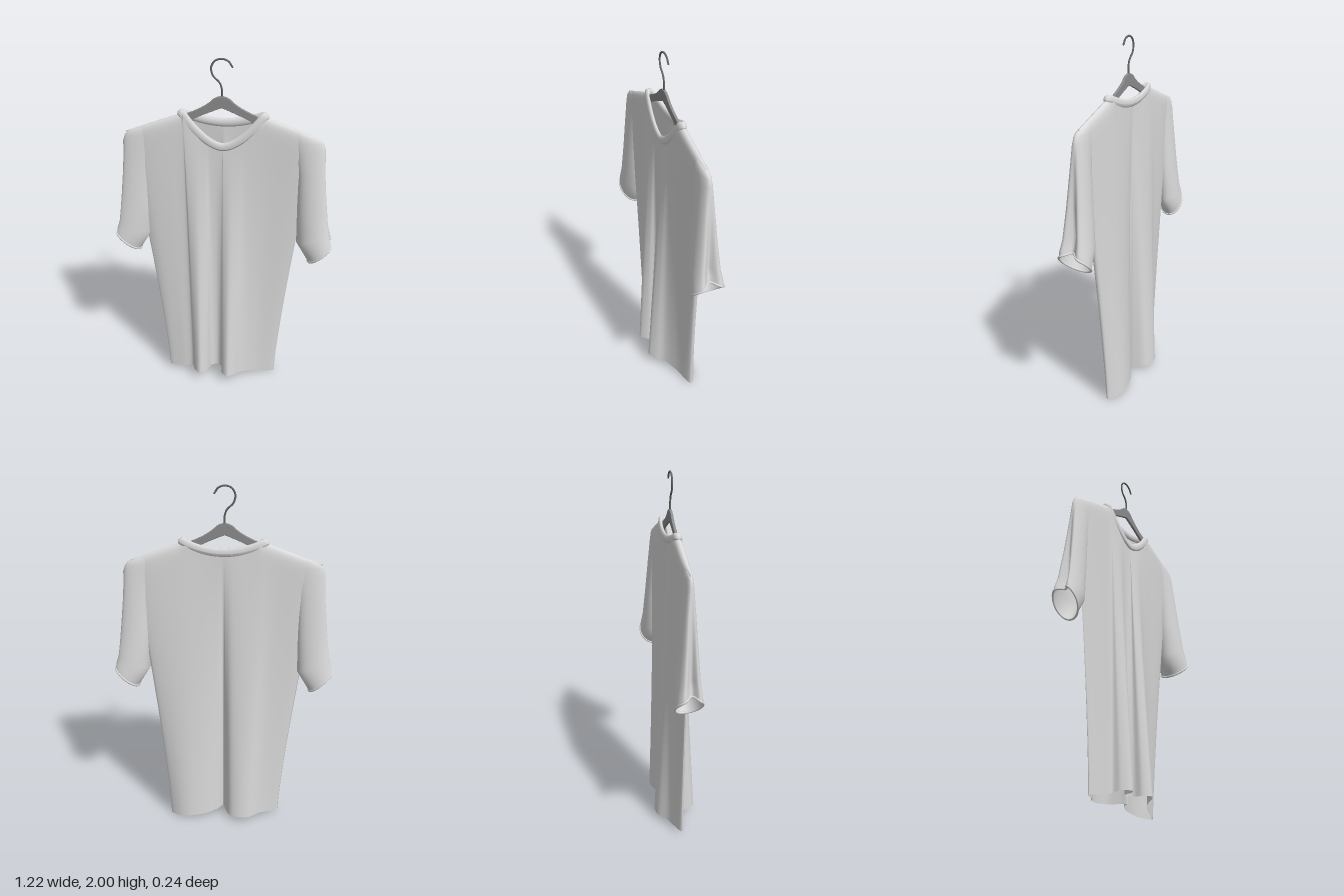
import * as THREE from 'three';

const mat = (name, color, side = THREE.FrontSide) => {
  const m = new THREE.MeshStandardMaterial({ color, side });
  m.name = name;
  return m;
};

// Closed cross-sections joined from bottom to top with smooth normals
function loft(rings) {
  const n = rings[0].length, pos = [], idx = [];
  rings.forEach(r => r.forEach(p => pos.push(p.x, p.y, p.z)));
  for (let j = 0; j < rings.length - 1; j++) {
    for (let i = 0; i < n; i++) {
      const a = j * n + i, b = j * n + (i + 1) % n;
      idx.push(a, b, b + n, a, b + n, a + n);
    }
  }
  const g = new THREE.BufferGeometry();
  g.setAttribute('position', new THREE.Float32BufferAttribute(pos, 3));
  g.setIndex(idx);
  g.computeVertexNormals();
  return g;
}

// Height of the shoulder line and neckline at x
function topY(x, front) {
  const a = Math.abs(x), k = a / 0.21;
  if (a > 0.21) return 1.71 - (a - 0.21) * 0.37;
  return front ? 1.543 + 0.167 * Math.pow(k, 1.7) : 1.662 + 0.048 * k * k;
}

// Draped body: the folded hem outline fades into a thin rounded shoulder line
function bodyGeometry() {
  const front = [[-0.335, 0.02, 0], [-0.25, 0.03, 0.02], [-0.185, 0.05, 0.03], [-0.172, 0.06, 0.075],
    [-0.13, 0.06, 0.112], [-0.09, 0.06, 0.08], [-0.065, 0.06, 0.025], [-0.03, 0.06, 0.015],
    [-0.003, 0.06, 0.04], [0.003, 0.06, 0.09], [0.04, 0.06, 0.12], [0.08, 0.055, 0.095],
    [0.12, 0.04, 0.045], [0.2, 0.02, 0], [0.32, 0, -0.045]];
  const back = [[0.27, 0.005, -0.085], [0.2, 0.015, -0.1], [0.1, 0.025, -0.08], [0.03, 0.03, -0.035],
    [0.003, 0.03, -0.002], [-0.012, 0.03, -0.04], [-0.045, 0.03, -0.1], [-0.1, 0.03, -0.12],
    [-0.16, 0.03, -0.11], [-0.22, 0.025, -0.06], [-0.27, 0.02, -0.035]];
  const pts = [...front, ...back].map(p => new THREE.Vector3(...p));
  const curve = new THREE.CatmullRomCurve3(pts, true);
  const n = pts.length * 6, rows = 36, rings = [];
  for (let j = 0; j <= rows; j++) {
    const t = 1 - Math.pow(1 - j / rows, 2), ring = [];
    for (let i = 0; i < n; i++) {
      const p = curve.getPoint(i / n);
      const isFront = i <= (front.length - 1) * 6;
      const u = Math.min(1, Math.abs(p.x) / 0.325);
      const xt = p.x * (1 + 0.54 * u * u);
      let zt = (isFront ? 0.026 : -0.026) * Math.sqrt(1 - Math.pow(u, 14));
      if (Math.abs(xt) > 0.21) zt *= Math.sqrt(Math.max(0, 1 - Math.pow(t, 70)));
      ring.push(new THREE.Vector3(
        p.x + (xt - p.x) * Math.pow(t, 1.3),
        p.y + (topY(xt, isFront) - p.y) * t,
        p.z + (zt - 0.007 - p.z) * t));
    }
    rings.push(ring);
  }
  return loft(rings);
}

// Sleeve rings: inner x, inner y, outer x, outer y, half depth, outer crease
const sleeveRows = [
  [0.482, 0.87, 0.62, 1.0, 0.085, 0.4],
  [0.464, 0.9, 0.619, 1.03, 0.084, 0.4],
  [0.412, 0.985, 0.607, 1.08, 0.075, 0.34],
  [0.405, 1.2, 0.58, 1.23, 0.058, 0.2],
  [0.4, 1.4, 0.552, 1.42, 0.041, 0.08],
  [0.38, 1.52, 0.536, 1.54, 0.03, 0],
  [0.36, 1.58, 0.524, 1.576, 0.026, 0],
  [0.35, 1.622, 0.508, 1.593, 0.021, 0],
  [0.35, 1.646, 0.49, 1.603, 0.012, 0],
  [0.35, 1.655, 0.475, 1.609, 0.001, 0]];

// The lean pushes the inner side of the lower sleeve forward or back
function sleeveRing([xi, yi, xo, yo, rz, crease], lean) {
  const ring = [];
  for (let i = 0; i < 48; i++) {
    const a = i / 48 * Math.PI * 2, c = Math.cos(a);
    const d = Math.atan2(Math.sin(a), c) / 0.4;
    const k = (1 + c) / 2 - crease * Math.exp(-d * d);
    ring.push(new THREE.Vector3(xi + (xo - xi) * k, yi + (yo - yi) * (1 + c) / 2,
      -rz * Math.sin(a) + lean * crease * (1 - c) / 2));
  }
  return ring;
}

export function createModel() {
  const model = new THREE.Group();
  model.name = 'shirtOnHanger';
  const cloth = mat('light grey cloth', 0xdadada, THREE.DoubleSide);
  const plastic = mat('grey hanger', 0x8c8c8c);
  const metal = mat('dark metal', 0x666666);
  const add = (parent, name, geometry, material) => {
    const m = new THREE.Mesh(geometry, material);
    m.name = name;
    parent.add(m);
    return m;
  };

  add(model, 'shirtBody', bodyGeometry(), cloth);

  // Sleeves with soft hems, the right one turned about and narrower
  for (const side of ['left', 'right']) {
    const sleeve = new THREE.Group();
    sleeve.name = side + 'Sleeve';
    const rings = sleeveRows.map(row => sleeveRing(row, side === 'right' ? 0.06 : 0));
    add(sleeve, side + 'SleeveCloth', loft(rings), cloth);
    const hem = new THREE.CatmullRomCurve3(rings[0], true);
    add(sleeve, side + 'SleeveHem', new THREE.TubeGeometry(hem, 72, 0.006, 8, true), cloth);
    sleeve.position.z = -0.006;
    if (side === 'right') {
      sleeve.rotation.y = Math.PI;
      sleeve.scale.z = 0.8;
    }
    model.add(sleeve);
  }

  // Flat collar band following the neckline, blunt at the shoulders
  const neck = [];
  for (let i = 0; i < 40; i++) {
    const a = i / 40 * Math.PI * 2, x = 0.215 * Math.cos(a), s = Math.sin(a);
    neck.push(new THREE.Vector3(x, topY(x, s > 0) - 0.004, 0.048 * Math.sign(s) * Math.pow(Math.abs(s), 0.6)));
  }
  const collar = new THREE.TubeGeometry(new THREE.CatmullRomCurve3(neck, true), 160, 0.023, 12, true);
  collar.scale(1, 1, 0.5).translate(0, 0, -0.007).computeVertexNormals();
  add(model, 'collar', collar, cloth);

  // Hanger arms
  const s = new THREE.Shape();
  s.moveTo(-0.36, 1.6);
  s.lineTo(-0.18, 1.705);
  s.quadraticCurveTo(-0.08, 1.745, -0.045, 1.785);
  s.quadraticCurveTo(0, 1.82, 0.045, 1.785);
  s.quadraticCurveTo(0.08, 1.745, 0.18, 1.705);
  s.lineTo(0.36, 1.6);
  s.lineTo(0.33, 1.585);
  s.quadraticCurveTo(0.14, 1.695, 0, 1.747);
  s.quadraticCurveTo(-0.14, 1.695, -0.33, 1.585);
  s.closePath();
  const arms = new THREE.ExtrudeGeometry(s, {
    depth: 0.008, bevelEnabled: true, bevelSize: 0.003, bevelThickness: 0.003, bevelSegments: 2, curveSegments: 10 });
  add(model, 'hangerArms', arms.translate(-0.006, 0, -0.009), plastic);

  // Wire hook
  const hook = new THREE.CatmullRomCurve3([[0, 1.78], [0, 1.84], [-0.012, 1.875], [-0.045, 1.91], [-0.054, 1.95],
    [-0.036, 1.984], [0, 1.995], [0.032, 1.984], [0.052, 1.957]].map(([x, y]) => new THREE.Vector3(x - 0.005, y, -0.005)));
  add(model, 'hook', new THREE.TubeGeometry(hook, 60, 0.005, 8), metal);
  const tip = add(model, 'hookTip', new THREE.SphereGeometry(0.0052, 10, 8), metal);
  tip.position.set(0.047, 1.957, -0.005);

  return model;
}
